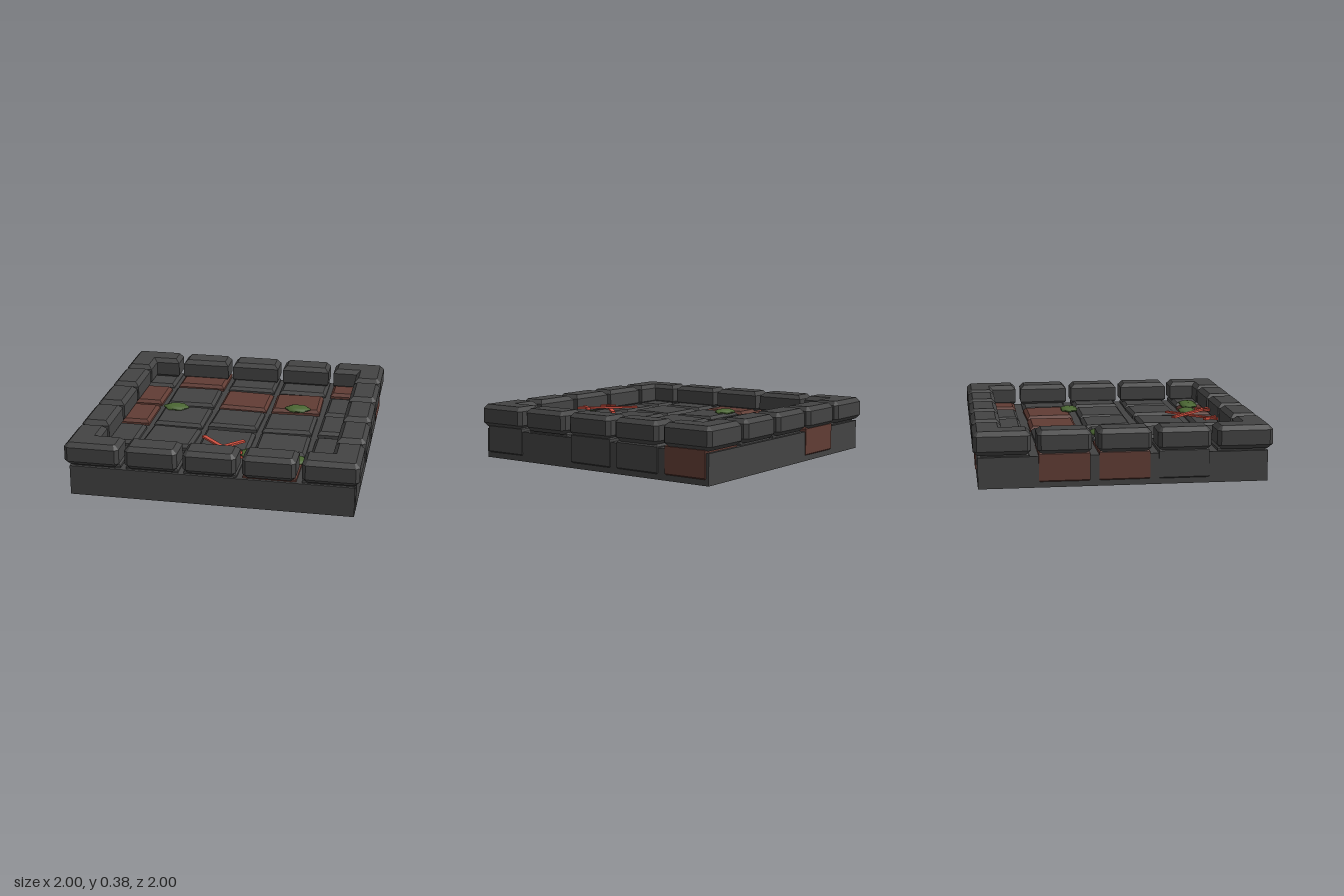
import * as THREE from 'three';

const mat = (name, color) => {
  const m = new THREE.MeshStandardMaterial({ color });
  m.name = name;
  return m;
};

// Bevelled slab: plan outline in (x, z), standing between y0 and y1
function slab(points, y0, y1, bevel) {
  const shape = new THREE.Shape(points.map(([x, z]) => new THREE.Vector2(x, -z)));
  const geo = new THREE.ExtrudeGeometry(shape, {
    depth: y1 - y0 - 2 * bevel, bevelEnabled: true, bevelSegments: 1,
    bevelThickness: bevel, bevelSize: bevel, bevelOffset: -bevel,
  });
  geo.rotateX(-Math.PI / 2);
  geo.translate(0, y0 + bevel, 0);
  return geo;
}

export function createModel() {
  const stone = mat('dark stone', 0x434343);
  const brick = mat('red brick', 0x613c34);
  const moss = mat('moss green', 0x4b6733);
  const red = mat('bright red', 0xd05040);

  const model = new THREE.Group();
  model.name = 'floorTile';
  const add = (name, geo, material, parent = model) => {
    const mesh = new THREE.Mesh(geo, material);
    mesh.name = name;
    parent.add(mesh);
    return mesh;
  };

  let seed = 7;
  const jitter = (a) => {
    seed = (seed * 16807) % 2147483647;
    return (seed / 2147483647 - 0.5) * 2 * a;
  };

  // Foundation
  add('base', new THREE.BoxGeometry(1.94, 0.21, 1.94), stone).position.y = 0.105;

  // Paving stones, five by five, slightly uneven; some of red brick
  const redCells = ['1,0', '4,0', '0,1', '2,1', '3,1', '0,2', '3,4'];
  const proudCells = ['1,0', '0,1', '0,2', '4,0', '4,1', '4,2', '4,4', '0,3'];
  const paving = new THREE.Group();
  paving.name = 'paving';
  model.add(paving);
  for (let i = 0; i < 5; i++) {
    for (let j = 0; j < 5; j++) {
      const key = `${i},${j}`;
      const proud = proudCells.includes(key);
      const border = i % 4 === 0 || j % 4 === 0;
      const sideX = i === 0 ? -1 : i === 4 ? 1 : 0;
      const sideZ = j === 0 ? -1 : j === 4 ? 1 : 0;
      const outX = proud && sideX ? 0.978 : 0.95;
      const outZ = proud && !sideX ? 0.978 : 0.95;
      const w = sideX ? outX - 0.62 : 0.36;
      const d = sideZ ? outZ - 0.63 : 0.34;
      const x = sideX ? sideX * (outX + 0.62) / 2 : (i - 2) * 0.4;
      const z = sideZ ? sideZ * (outZ + 0.63) / 2 : (j - 2) * 0.4;
      const outline = [[-w / 2, d / 2], [w / 2, d / 2], [w / 2, -d / 2], [-w / 2, -d / 2]];
      const top = 0.245 + jitter(0.007);
      const mesh = add('pavingStone', slab(outline, 0.025, top, 0.022),
        redCells.includes(key) ? brick : stone, paving);
      mesh.position.set(x, 0, z);
      const tilt = border ? 0.006 : 0.03;
      mesh.rotation.set(jitter(tilt), jitter(tilt * 1.3), jitter(tilt));
    }
  }

  // Raised rim: three blocks and one corner piece per side
  const c = 0.025;
  const block = slab([[-0.18, 0.8], [0.18, 0.8], [0.18, 1 - c], [0.18 - c, 1],
    [-0.18 + c, 1], [-0.18, 1 - c]].reverse(), 0.225, 0.385, 0.03);
  const corner = slab([[0.62, 0.8], [0.8, 0.8], [0.8, 0.62], [1 - c, 0.62], [1, 0.62 + c],
    [1, 1 - c], [1 - c, 1], [0.62 + c, 1], [0.62, 1 - c]].reverse(), 0.225, 0.385, 0.03);
  for (let side = 0; side < 4; side++) {
    const rim = new THREE.Group();
    rim.name = 'rimSide';
    rim.rotation.y = side * Math.PI / 2;
    model.add(rim);
    for (const x of [-0.4, 0, 0.4]) add('rimBlock', block, stone, rim).position.x = x;
    add('rimCorner', corner, stone, rim);
  }

  // Moss clumps
  const clump = new THREE.SphereGeometry(1, 6, 5);
  for (const [x, z] of [[-0.48, -0.11], [0.42, -0.235], [0.23, 0.65], [0.47, 0.705], [0.53, 0.71]]) {
    const m = add('mossClump', clump, moss);
    m.position.set(x, 0.262, z);
    m.scale.set(0.1, 0.022, 0.072);
  }

  // Crossed swords lying on the floor
  for (const s of [-1, 1]) {
    const sword = new THREE.Group();
    sword.name = 'sword';
    sword.position.set(0, s > 0 ? 0.288 : 0.274, 0.62);
    sword.rotation.y = s * Math.PI / 4;
    model.add(sword);
    add('blade', new THREE.BoxGeometry(0.03, 0.014, 0.46), red, sword).position.z = 0.025;
    const guard = add('guard', new THREE.BoxGeometry(0.12, 0.02, 0.025), red, sword);
    guard.position.z = 0.185;
    guard.rotation.y = s * 0.2;
  }
  return model;
}
